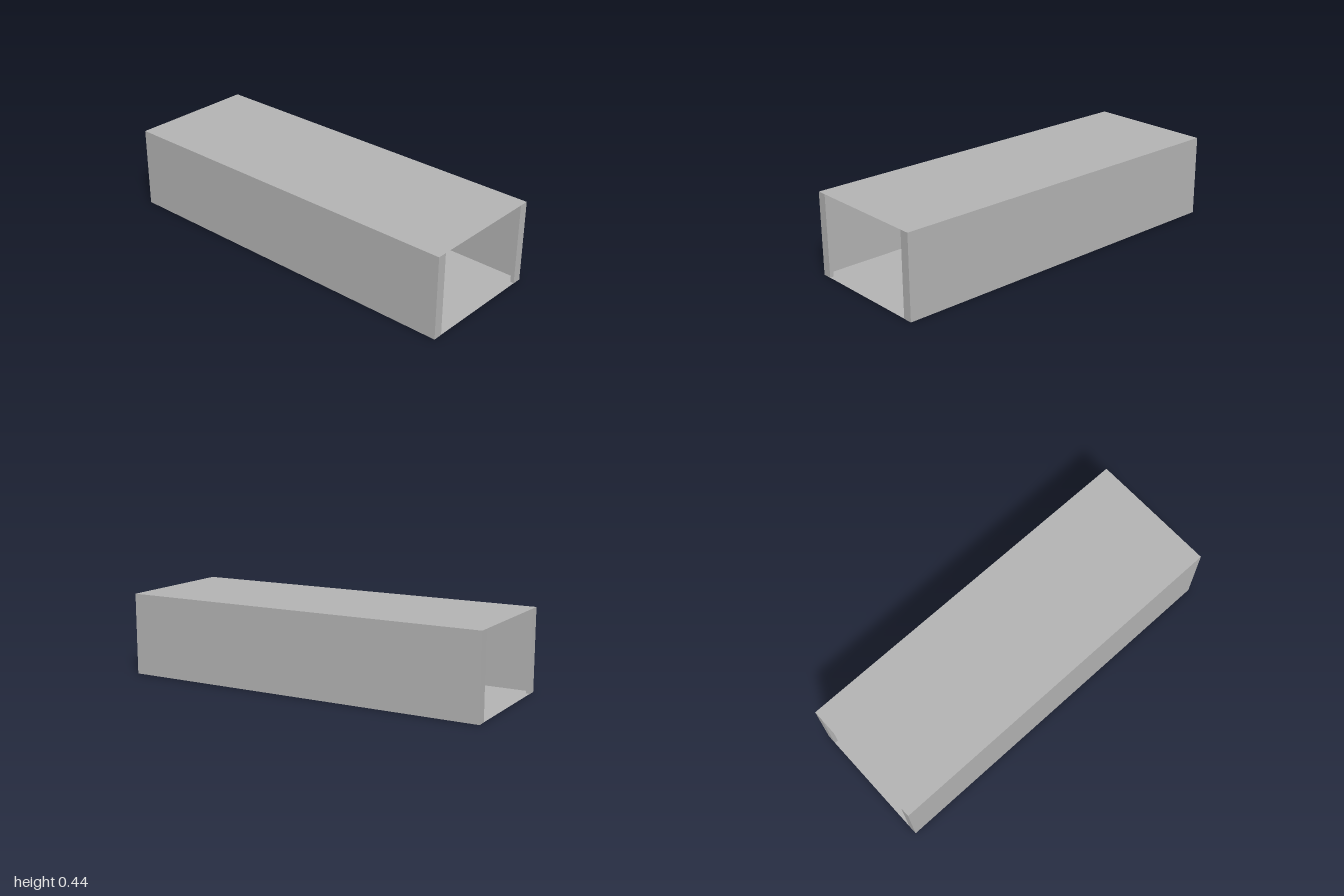
import * as THREE from 'three';

const W = 0.35, H = 0.44, L = 1, POST = 0.05, POST_DEPTH = 0.02;

const concrete = new THREE.MeshStandardMaterial({ color: 0xb4b4b4, side: THREE.DoubleSide });
concrete.name = 'light grey';
const body = new THREE.MeshStandardMaterial({ color: 0x696969 });
body.name = 'dark grey';

function add(parent, name, geometry, material, x = 0, y = 0, z = 0) {
  const mesh = new THREE.Mesh(geometry, material);
  mesh.name = name;
  mesh.position.set(x, y, z);
  parent.add(mesh);
  return mesh;
}

// Ellipsoid with centre c and radii r
function blob(parent, name, c, r, tilt = 0) {
  const mesh = add(parent, name, new THREE.SphereGeometry(1, 14, 10), body, ...c);
  mesh.scale.set(...r);
  mesh.rotation.z = tilt;
  return mesh;
}

// Turned limb from a to b; profile holds [fraction along, radius] pairs
function limb(parent, name, a, b, profile) {
  const from = new THREE.Vector3(...a), dir = new THREE.Vector3(...b).sub(from);
  const len = dir.length();
  const points = profile.map(([t, r]) => new THREE.Vector2(r, t * len));
  const mesh = add(parent, name, new THREE.LatheGeometry(points, 12), body, ...a);
  mesh.quaternion.setFromUnitVectors(new THREE.Vector3(0, 1, 0), dir.normalize());
  return mesh;
}

function createFigure() {
  const g = new THREE.Group();
  g.name = 'figure';

  // Head and neck
  blob(g, 'skull', [0, 0.173, 0.001], [0.0088, 0.0105, 0.0105]);
  blob(g, 'jaw', [0, 0.1655, 0.004], [0.0068, 0.0085, 0.0075]);
  limb(g, 'neck', [0, 0.148, -0.001], [0, 0.168, 0.001], [[0, 0.009], [0.5, 0.0065], [1, 0.006]]);

  // Torso: ribcage, waist and pelvis
  const chest = limb(g, 'chest', [0, 0.117, 0], [0, 0.158, 0],
    [[0, 0], [0.02, 0.0145], [0.3, 0.019], [0.65, 0.0225], [0.85, 0.019], [1, 0.007], [1, 0]]);
  chest.scale.z = 0.6;
  const waist = limb(g, 'abdomen', [0, 0.098, 0], [0, 0.126, 0],
    [[0, 0], [0.02, 0.0145], [0.5, 0.0135], [1, 0.0145], [1, 0]]);
  waist.scale.z = 0.66;
  const pelvis = limb(g, 'pelvis', [0, 0.084, 0], [0, 0.106, 0],
    [[0, 0], [0.15, 0.007], [0.5, 0.0165], [0.9, 0.0165], [1, 0]]);
  pelvis.scale.z = 0.7;
  const belt = add(g, 'belt', new THREE.TorusGeometry(0.0145, 0.0012, 6, 20), body, 0, 0.105, 0);
  belt.rotation.x = Math.PI / 2;
  belt.scale.y = 0.68;

  for (const s of [-1, 1]) {
    // Chest, back and seat muscles
    blob(g, 'pectoral', [s * 0.0095, 0.1425, 0.0075], [0.0105, 0.0085, 0.0065]);
    blob(g, 'shoulderBlade', [s * 0.0105, 0.14, -0.0075], [0.01, 0.012, 0.006]);
    blob(g, 'trapezius', [s * 0.011, 0.1545, -0.001], [0.011, 0.004, 0.006], -s * 0.35);
    blob(g, 'buttock', [s * 0.0075, 0.092, -0.007], [0.0085, 0.009, 0.0075]);

    // Arm
    blob(g, 'shoulder', [s * 0.025, 0.148, 0], [0.0085, 0.0095, 0.0085], s * 0.6);
    limb(g, 'upperArm', [s * 0.027, 0.146, 0], [s * 0.045, 0.1245, 0],
      [[0, 0], [0, 0.006], [0.4, 0.0068], [0.85, 0.005], [1, 0.0045], [1, 0]]);
    blob(g, 'elbow', [s * 0.045, 0.1245, 0], [0.005, 0.005, 0.005]);
    limb(g, 'forearm', [s * 0.044, 0.1255, 0], [s * 0.062, 0.108, 0.003],
      [[0, 0], [0, 0.0048], [0.3, 0.0062], [0.8, 0.0038], [1, 0.003], [1, 0]]);
    blob(g, 'hand', [s * 0.0635, 0.1055, 0.003], [0.0028, 0.0055, 0.0042], s * 0.6);
    for (let i = 0; i < 4; i++) {
      const z = 0.0002 + i * 0.0019;
      limb(g, 'finger', [s * 0.065, 0.104, z], [s * 0.0682, 0.0955, z],
        [[0, 0.0011], [0.8, 0.0009], [1, 0]]);
    }
    limb(g, 'thumb', [s * 0.062, 0.1055, 0.006], [s * 0.0625, 0.098, 0.009],
      [[0, 0.0014], [0.8, 0.001], [1, 0]]);

    // Leg
    limb(g, 'thigh', [s * 0.0105, 0.097, 0], [s * 0.0145, 0.051, 0.001],
      [[0, 0], [0.05, 0.0075], [0.3, 0.0102], [0.6, 0.0092], [0.9, 0.007], [1, 0.0065], [1, 0]]);
    blob(g, 'knee', [s * 0.0148, 0.0515, 0.003], [0.0062, 0.007, 0.0062]);
    limb(g, 'shin', [s * 0.015, 0.052, 0], [s * 0.0185, 0.007, -0.002],
      [[0, 0], [0, 0.006], [0.3, 0.0082], [0.65, 0.0058], [0.9, 0.0042], [1, 0.0045], [1, 0]]);
    blob(g, 'calf', [s * 0.016, 0.0375, -0.004], [0.0065, 0.011, 0.0055]);
    blob(g, 'heel', [s * 0.0187, 0.0045, -0.004], [0.0045, 0.0045, 0.005]);
    const foot = blob(g, 'foot', [s * 0.0195, 0.004, 0.005], [0.0053, 0.004, 0.0115]);
    foot.rotation.y = s * 0.15;
  }
  return g;
}

export function createModel() {
  const model = new THREE.Group();
  model.name = 'corridor';

  // Thin floor, roof and side walls
  for (const [name, y] of [['floor', 0.001], ['roof', H]]) {
    const slab = add(model, name, new THREE.PlaneGeometry(2 * W, 2 * L), concrete, 0, y, 0);
    slab.rotation.x = -Math.PI / 2;
  }
  for (const s of [-1, 1]) {
    const wall = add(model, 'sideWall', new THREE.PlaneGeometry(2 * L, H), concrete, s * W, H / 2, 0);
    wall.rotation.y = s * Math.PI / 2;
    // Posts framing both open ends
    for (const e of [-1, 1]) {
      add(model, 'endPost', new THREE.BoxGeometry(POST, H, POST_DEPTH), concrete,
        s * (W - POST / 2), H / 2, e * (L - POST_DEPTH / 2));
    }
  }

  // Row of three figures near the back opening
  const figure = createFigure();
  for (const x of [-0.145, 0, 0.145]) {
    const copy = figure.clone();
    copy.position.set(x, 0, -0.75);
    model.add(copy);
  }
  return model;
}
